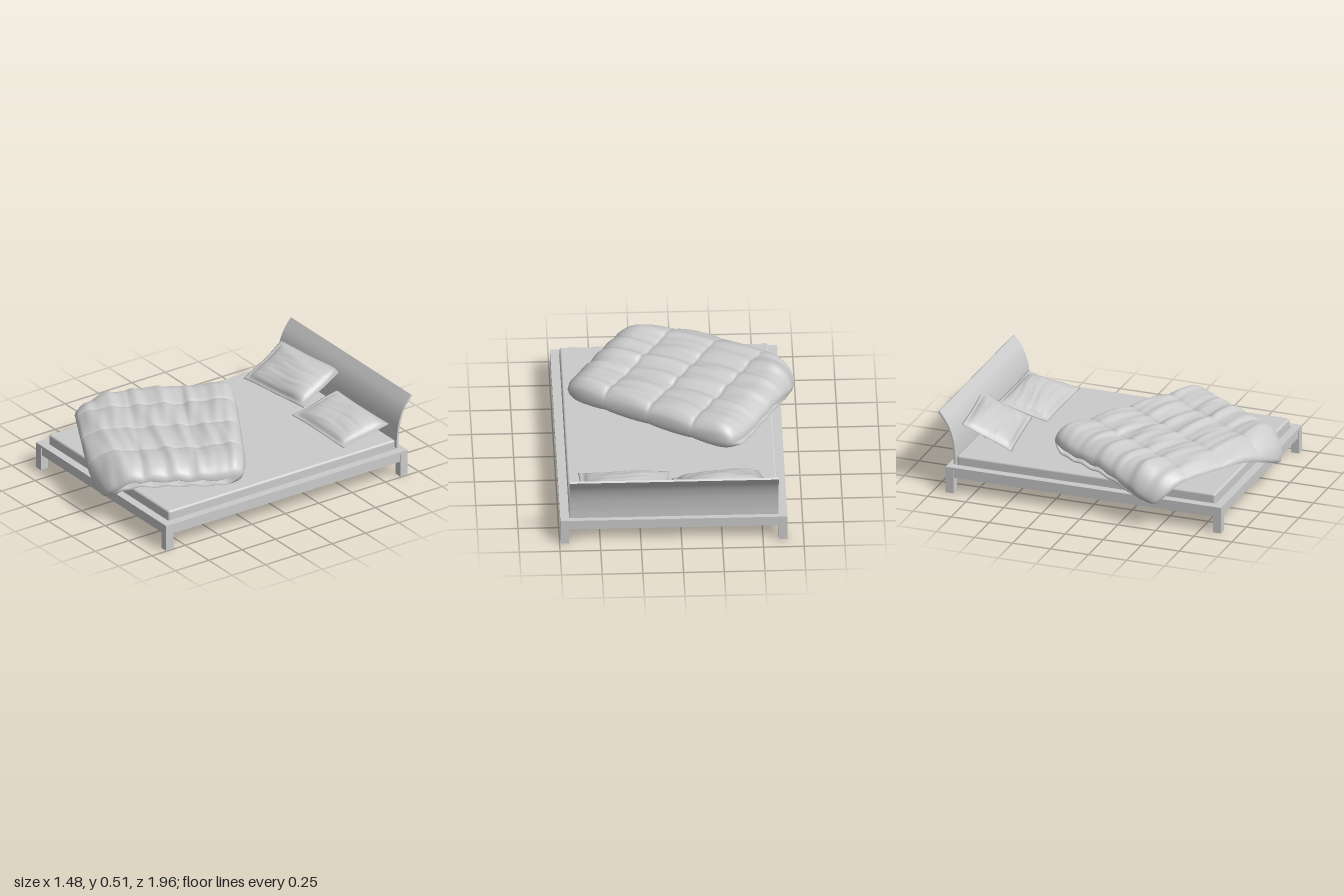
import * as THREE from 'three';
import { mergeVertices, toCreasedNormals } from 'three/addons/utils/BufferGeometryUtils.js';
import { RoundedBoxGeometry } from 'three/addons/geometries/RoundedBoxGeometry.js';

const grey = new THREE.MeshStandardMaterial({ color: 0xcccccc, side: THREE.DoubleSide });
const { lerp, smoothstep, clamp } = THREE.MathUtils;
const CX = 0.047; // middle of the frame

function add(parent, name, geometry) {
  const mesh = new THREE.Mesh(geometry, grey);
  mesh.name = name;
  parent.add(mesh);
  return mesh;
}

// Box given by its two extreme corners
function box(parent, name, [x0, y0, z0], [x1, y1, z1]) {
  const g = new THREE.BoxGeometry(x1 - x0, y1 - y0, z1 - z0);
  add(parent, name, g.translate((x0 + x1) / 2, (y0 + y1) / 2, (z0 + z1) / 2));
}

// Closed cushion-like skin: point(u, v, side) for the top (side 1) and the bottom (side -1)
function cushion(nu, nv, point) {
  const pos = [], idx = [];
  for (const side of [1, -1]) {
    const base = pos.length / 3;
    for (let j = 0; j <= nv; j++)
      for (let i = 0; i <= nu; i++) pos.push(...point(i / nu, j / nv, side));
    for (let j = 0; j < nv; j++)
      for (let i = 0; i < nu; i++) {
        const a = base + j * (nu + 1) + i, b = a + 1, c = a + nu + 1, d = c + 1;
        if (side > 0) idx.push(a, c, b, b, c, d);
        else idx.push(a, b, c, b, d, c);
      }
  }
  const g = new THREE.BufferGeometry();
  g.setAttribute('position', new THREE.Float32BufferAttribute(pos, 3));
  g.setIndex(idx);
  const merged = mergeVertices(g, 1e-5);
  merged.computeVertexNormals();
  return merged;
}

// Soft creases and streaks in the cloth
const wrinkle = (a, b) =>
  Math.sin(b * 31 + 2.2 * Math.sin(a * 5 + b * 3)) * 0.5 +
  Math.sin(b * 57 + a * 7 + 1.7 * Math.sin(a * 9)) * 0.3 +
  Math.sin(a * 17 + b * 11) * 0.35;

// ---- Duvet, folded over at its back edge and hanging over the foot and right side
const corner = { a: [-0.34, -0.38], b: [0.71, 0.25], c: [0.2, 1.07], d: [-0.84, 0.5] };
const MID = 0.29, R = 0.17;

// Place (u, v) at height h above the hem level, wrapped round the mattress edges
function drape(u, v, h) {
  const s = 2 * u - 1, t = 2 * v - 1;
  const round = 1 - 0.07 * s ** 6 * t ** 6;
  u = (s * round + 1) / 2;
  v = (t * round + 1) / 2;
  const at = k => lerp(lerp(corner.a[k], corner.b[k], u), lerp(corner.d[k], corner.c[k], u), v);
  let x = at(0), z = at(1), y = MID + h;
  const reach = R + h * 0.45;
  const az = clamp((z - 0.8) / R, 0, 1.6), ax = clamp((-0.57 - x) / R, 0, 1.6);
  if (az > 0) {
    z = 0.8 + reach * Math.sin(az);
    y -= (R + h) * (1 - Math.cos(az));
  }
  if (ax > 0) {
    x = -0.57 - reach * Math.sin(ax);
    y -= (R + h) * (1 - Math.cos(ax));
  }
  return [x, y, z];
}

const seam = a => Math.abs(Math.sin(Math.PI * a)) ** 0.5;
const rim = (a, w) => Math.sqrt(1 - (1 - clamp(a / w, 0, 1)) ** 2);

function duvetUpper(u, v, side) {
  const ends = rim(u, 0.13) * rim(1 - u, 0.13);
  const edge = ends * rim(v, 0.1) * rim(1 - v, 0.25);
  const quilt = 0.62 + 0.23 * seam(u * 4) + 0.15 * seam(v * 3);
  const ripple = 0.006 * Math.sin(v * 40 + u * 9) * smoothstep(v, 0.1, 0.3) * (1 - smoothstep(v, 0.85, 1));
  const fold = 0.02 * (1 - smoothstep(v, 0, 0.2));
  const puff = lerp(0.118, 0.085, v);
  const h = side > 0
    ? edge * (puff * quilt + 0.006 * wrinkle(u, v * 1.4))
    : -0.018 * edge * smoothstep(v, 0, 0.2);
  return drape(u, v, h + ripple + fold);
}

function duvetLower(u, v, side) {
  const edge = rim(u, 0.1) * rim(1 - u, 0.1) * rim(1 - v, 0.1);
  const ripple = 0.005 * Math.sin(v * 34 + 1 + u * 6) * smoothstep(v, 0.1, 0.3);
  const level = lerp(0.02, -0.036, smoothstep(v, 0, 0.16));
  const floor = lerp(0.02, -0.056, rim(v, 0.1) * (0.8 + 0.2 * seam(u * 4)));
  const h = side > 0 ? level + 0.012 * edge * rim(v, 0.1) + ripple : lerp(level + ripple, floor, edge);
  return drape(u, v * 0.88, h);
}

// ---- Pillow with a flat flange round a stuffed middle
function pillow(w, d, seed) {
  return cushion(56, 40, (u, v, side) => {
    const s = 2 * u - 1, t = 2 * v - 1;
    const inS = clamp(1 - Math.abs(s / 0.88) ** 4, 0, 1), inT = clamp(1 - Math.abs(t / 0.87) ** 4, 0, 1);
    const stuffed = Math.sqrt(inS * inT);
    const hem = Math.max(Math.abs(s), Math.abs(t)) < 0.999 ? 0.003 : 0;
    const wave = 0.006 * Math.sin(s * 4 + seed) * Math.sin(t * 3 + seed * 2);
    const fill = (0.034 + 0.014 * (1 - s * s) * (1 - t * t)) * stuffed;
    const h = side * (fill + hem) + wave + 0.003 * stuffed * wrinkle(u + seed, v);
    const bow = 0.97 + 0.03 * s * s * t * t;
    return [s * w / 2 * bow, h, t * d / 2 * bow];
  });
}

export function createModel() {
  const bed = new THREE.Group();
  bed.name = 'bed';

  // Frame: legs, overhanging ledge, set-back rails and base board
  const frame = new THREE.Group();
  frame.name = 'frame';
  bed.add(frame);
  const X0 = -0.65, X1 = 0.745, Z0 = -0.92, Z1 = 0.89, W = 0.053;
  for (const x of [X0, X1 - W])
    for (const z of [Z0, Z1 - W]) box(frame, 'leg', [x, 0, z], [x + W, 0.155, z + W]);
  for (const x of [X0, X1 - W]) {
    box(frame, 'sideLedge', [x, 0.153, Z0], [x + W, 0.17, Z1]);
    box(frame, 'sideRail', [x + 0.008, 0.1, Z0 + W], [x + W - 0.008, 0.153, Z1 - W]);
  }
  for (const z of [Z0, Z1 - W]) {
    box(frame, 'endLedge', [X0 + W, 0.153, z], [X1 - W, 0.17, z + W]);
    box(frame, 'endRail', [X0 + W, 0.1, z + 0.008], [X1 - W, 0.153, z + W - 0.008]);
  }
  box(frame, 'baseBoard', [X0 + 0.04, 0.1, Z0 + 0.04], [X1 - 0.04, 0.14, Z1 - 0.04]);

  // Headboard: a thin curved profile swept across the bed
  const curve = new THREE.SplineCurve([
    [-0.876, 0.155], [-0.878, 0.24], [-0.892, 0.34], [-0.925, 0.43], [-0.982, 0.51],
  ].map(p => new THREE.Vector2(...p)));
  const front = curve.getPoints(24);
  const back = front.map((p, i) => {
    const t = curve.getTangent(i / 24);
    return new THREE.Vector2(p.x - t.y * 0.013, p.y + t.x * 0.013);
  });
  const profile = new THREE.Shape([...front, ...back.reverse()]);
  const board = new THREE.ExtrudeGeometry(profile, { depth: 1.285, bevelEnabled: false });
  board.rotateY(-Math.PI / 2).translate(CX + 0.6425, 0, 0);
  add(bed, 'headboard', toCreasedNormals(board, 0.6));

  // Mattress
  const mattress = new RoundedBoxGeometry(1.285, 0.09, 1.7, 4, 0.014);
  add(bed, 'mattress', mattress).position.set(CX, 0.185, -0.018);

  // Pillows: one leaning on the headboard, one lying nearly flat
  const leaning = add(bed, 'rightPillow', pillow(0.55, 0.35, 1.3));
  leaning.position.set(-0.235, 0.335, -0.742);
  leaning.rotation.set(0.46, 0.13, 0, 'YXZ');
  const lying = add(bed, 'leftPillow', pillow(0.56, 0.35, 3.1));
  lying.position.set(0.345, 0.28, -0.695);
  lying.rotation.set(0.2, 0, 0);

  // Duvet
  const duvet = new THREE.Group();
  duvet.name = 'duvet';
  bed.add(duvet);
  add(duvet, 'duvetUpperLayer', cushion(120, 100, duvetUpper));
  add(duvet, 'duvetLowerLayer', cushion(80, 60, duvetLower));

  return bed;
}
